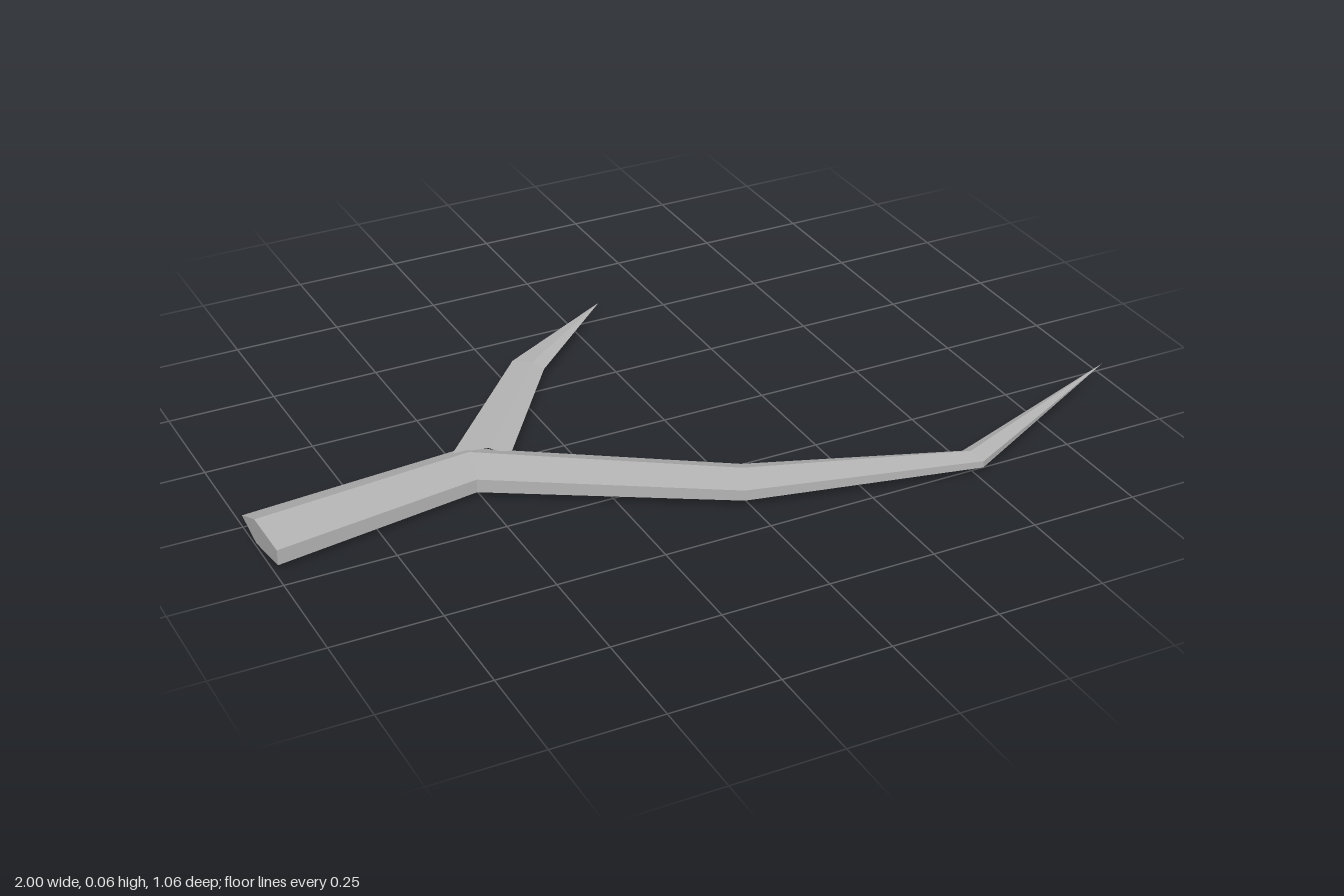
import * as THREE from 'three';

const SIDES = 5;
const MID_Y = 0.03;

// Each ring is [pointX, pointZ, flatX, flatZ, halfHeight]: a squashed pentagon
// with its corner at the "point" and its short upright side at the "flat".
function ringPoints([px, pz, fx, fz, h]) {
  const t = 1 / (1 + Math.cos(Math.PI / SIDES));
  const cx = px + (fx - px) * t, cz = pz + (fz - pz) * t;
  return Array.from({ length: SIDES }, (_, k) => {
    const a = (k / SIDES) * Math.PI * 2;
    return [cx + (px - cx) * Math.cos(a), MID_Y + h * Math.sin(a), cz + (pz - cz) * Math.cos(a)];
  });
}

// Skins the rings with flat faces; the last ring is a single tip point.
function limb(name, rings, material, capped) {
  const loops = rings.map(ringPoints);
  const pos = [];
  const tri = (a, b, c) => pos.push(...a, ...b, ...c);
  for (let i = 0; i < loops.length - 1; i++) {
    for (let k = 0; k < SIDES; k++) {
      const n = (k + 1) % SIDES;
      tri(loops[i][k], loops[i][n], loops[i + 1][n]);
      if (i < loops.length - 2) tri(loops[i][k], loops[i + 1][n], loops[i + 1][k]);
    }
  }
  // Cut end
  if (capped) for (let k = 1; k < SIDES - 1; k++) tri(loops[0][0], loops[0][k + 1], loops[0][k]);
  const geo = new THREE.BufferGeometry();
  geo.setAttribute('position', new THREE.Float32BufferAttribute(pos, 3));
  geo.computeVertexNormals();
  const mesh = new THREE.Mesh(geo, material);
  mesh.name = name;
  return mesh;
}

export function createModel() {
  const group = new THREE.Group();
  group.name = 'branch';
  const bark = new THREE.MeshStandardMaterial({ color: 0xb4b4b4 });
  bark.name = 'grey bark';

  // Thick stem bending out to the long tip
  group.add(limb('mainStem', [
    [-1.0, 0.0, -0.99, 0.19, 0.031],
    [-0.47, -0.045, -0.51, 0.115, 0.027],
    [0.04, 0.29, -0.015, 0.41, 0.0215],
    [0.5, 0.46, 0.51, 0.53, 0.0135],
    [1.0, 0.27, 1.0, 0.27, 0],
  ], bark, true));

  // Thin fork; its corner is on the other side, so heights are negated to keep faces outward
  group.add(limb('sideFork', [
    [-0.39, 0.025, -0.51, -0.017, -0.0195],
    [-0.165, -0.29, -0.22, -0.345, -0.014],
    [0.09, -0.53, 0.09, -0.53, 0],
  ], bark, false));
  return group;
}
